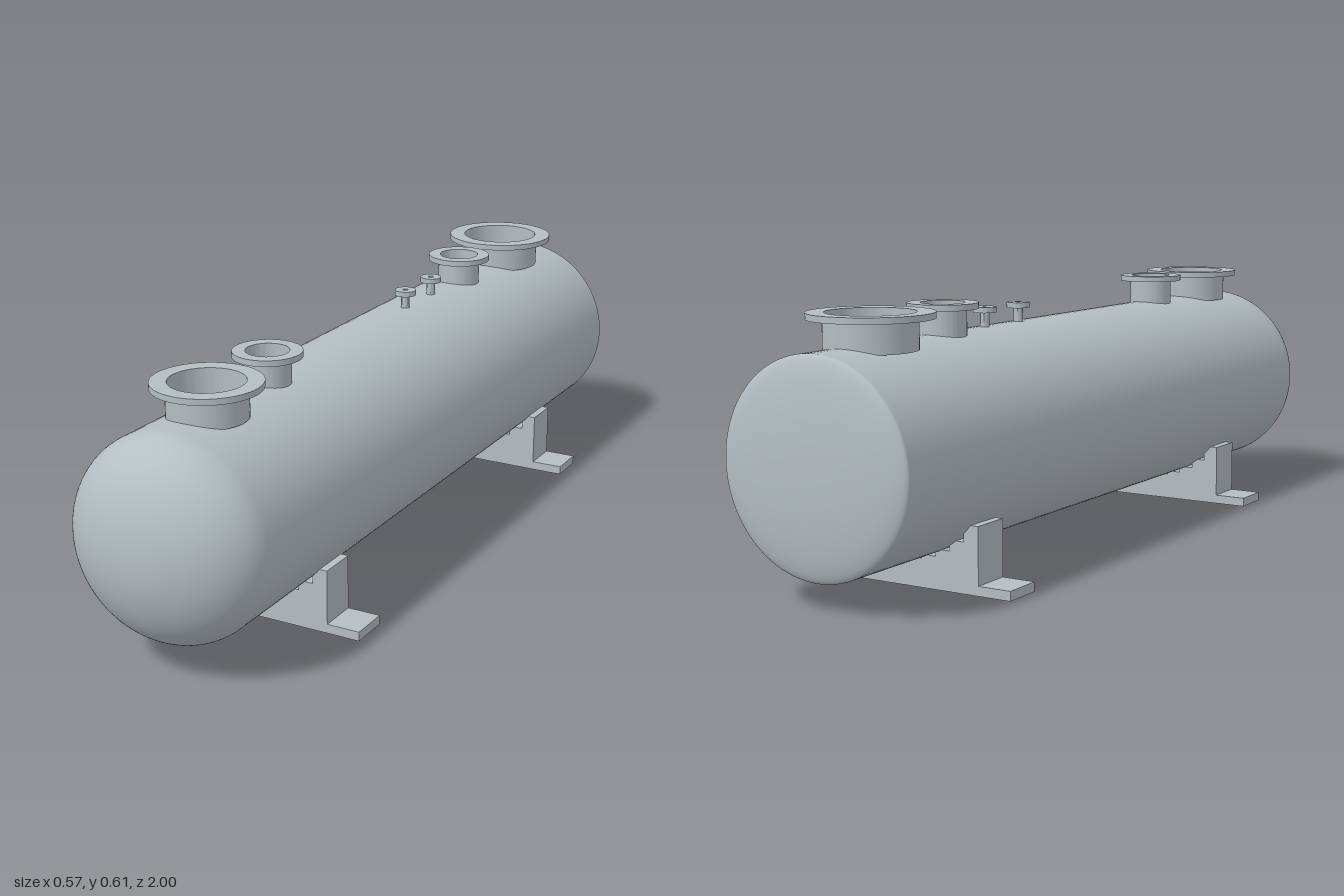
import * as THREE from 'three';
import { toCreasedNormals } from 'three/addons/utils/BufferGeometryUtils.js';

const AXIS_Y = 0.3, RADIUS = 0.237;

export function createModel() {
  const model = new THREE.Group();
  model.name = 'pressureVessel';
  const steel = new THREE.MeshStandardMaterial({ color: 0xb4bec3 });
  steel.name = 'paintedSteel';

  const add = (parent, name, geometry) => {
    const mesh = new THREE.Mesh(geometry, steel);
    mesh.name = name;
    parent.add(mesh);
    return mesh;
  };

  // Shell: shallow rear head, straight barrel, deeper front head
  const backZ = -0.965, frontZ = 0.84, steps = 32;
  const profile = [];
  for (let i = 0; i <= steps; i++) {
    const a = (i / steps) * Math.PI / 2;
    profile.push(new THREE.Vector2(RADIUS * Math.sin(a), backZ - 0.035 * Math.cos(a)));
  }
  profile.push(new THREE.Vector2(RADIUS, backZ + 0.005), new THREE.Vector2(RADIUS, frontZ - 0.005));
  for (let i = 0; i <= steps; i++) {
    const a = (i / steps) * Math.PI / 2;
    profile.push(new THREE.Vector2(i === steps ? 0 : RADIUS * Math.cos(a), frontZ + 0.16 * Math.sin(a)));
  }
  const shell = add(model, 'shell', new THREE.LatheGeometry(profile, 96).rotateX(Math.PI / 2));
  shell.position.y = AXIS_Y;

  // Open pipe stubs with flat flanges
  const nozzle = (name, z, flangeR, pipeR, boreR, bottom, under, top) => {
    const ring = [
      [boreR, bottom], [pipeR, bottom], [pipeR, under], [flangeR, under],
      [flangeR, top], [boreR, top], [boreR, bottom],
    ].map(([r, y]) => new THREE.Vector2(r, y));
    const geometry = toCreasedNormals(new THREE.LatheGeometry(ring, 64), 0.6);
    add(model, name, geometry).position.z = z;
  };
  nozzle('frontLargeNozzle', 0.702, 0.123, 0.09, 0.085, 0.525, 0.592, 0.606);
  nozzle('frontMediumNozzle', 0.461, 0.08, 0.054, 0.05, 0.525, 0.592, 0.606);
  nozzle('rearMediumNozzle', -0.511, 0.08, 0.054, 0.05, 0.525, 0.592, 0.606);
  nozzle('rearLargeNozzle', -0.773, 0.138, 0.102, 0.098, 0.525, 0.592, 0.606);
  nozzle('frontGaugePort', -0.201, 0.027, 0.011, 0.007, 0.525, 0.57, 0.583);
  nozzle('rearGaugePort', -0.344, 0.027, 0.011, 0.007, 0.525, 0.57, 0.583);

  // Saddle outline: wide foot with a stepped cradle, mirrored about x = 0
  const half = [
    [0.285, 0], [0.285, 0.022], [0.204, 0.022], [0.204, 0.152], [0.167, 0.152],
    [0.167, 0.114], [0.13, 0.114], [0.13, 0.09], [0.093, 0.09], [0.093, 0.074],
    [0.056, 0.074], [0.056, 0.065], [0.019, 0.065], [0.019, 0.062],
  ];
  const mirrored = half.map(([x, y]) => [-x, y]).reverse();
  const outline = new THREE.Shape([...half, ...mirrored].map(([x, y]) => new THREE.Vector2(x, y)));
  const depth = 0.096;
  const saddleGeometry = new THREE.ExtrudeGeometry(outline, { depth, bevelEnabled: false });
  saddleGeometry.translate(0, 0, -depth / 2);
  add(model, 'frontSaddle', saddleGeometry).position.z = 0.51;
  add(model, 'rearSaddle', saddleGeometry).position.z = -0.632;

  return model;
}
